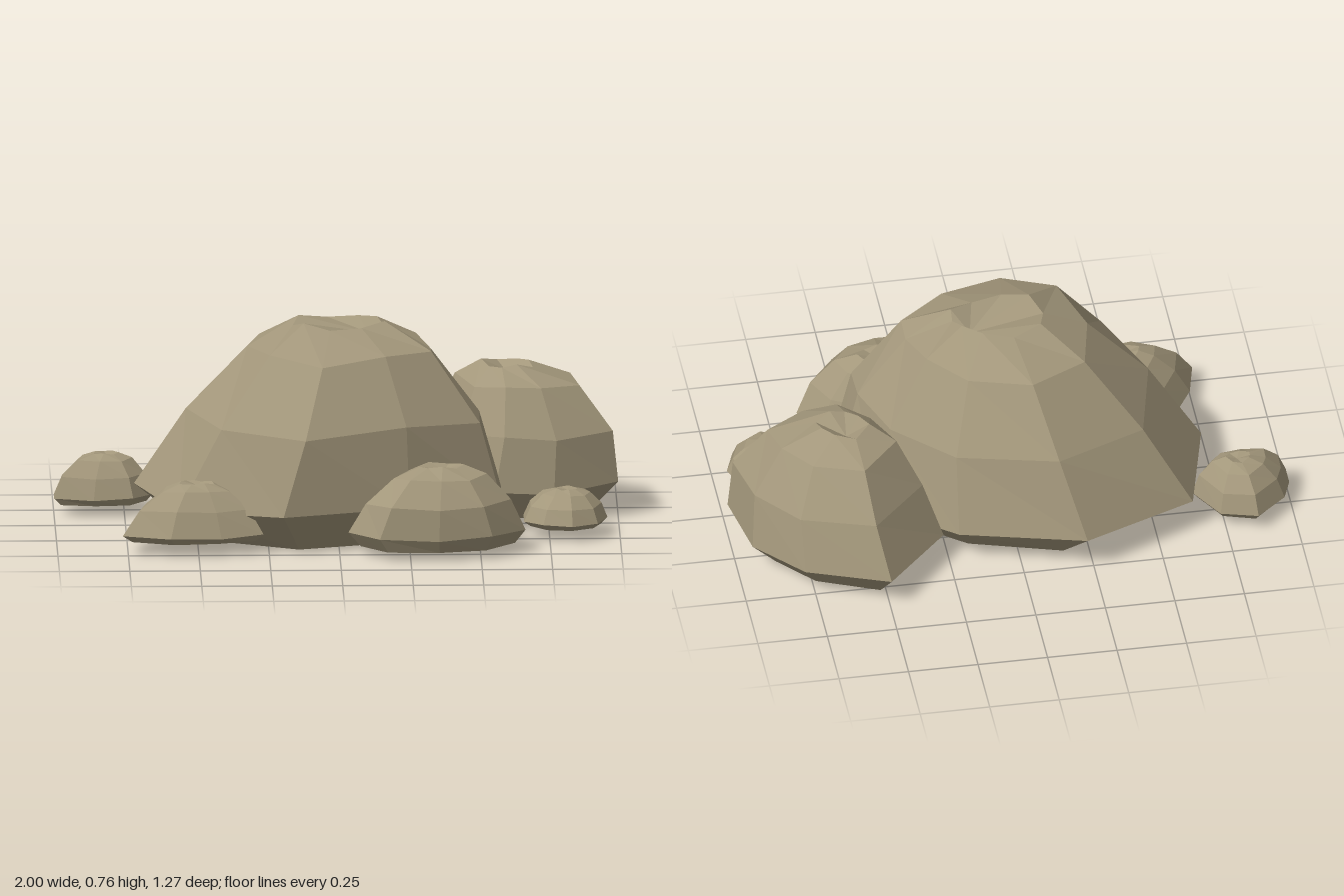
import * as THREE from 'three';

const { lerp } = THREE.MathUtils;
const shoulder = (bulge) => 1.25 * bulge - 0.5;

// Faceted rock: the footprint outline is lofted through rings that shrink toward a
// centre, then closed with a flat base and a slightly sunken crown.
// base, rim and top are heights; foot is the ring size below the rim, bulge the
// x and z size above it; lean shifts the upper body, dip places the crown.
function rockGeometry({ outline, centre: [cx, cz], base, rim, top, foot, bulge: [bx, bz],
  lean: [lx, lz] = [0, 0], dip = [cx, cz] }) {
  const height = top - base;
  const profile = [
    { y: base, sx: foot, sz: foot, shift: 0 },
    { y: rim, sx: 1, sz: 1, shift: 0 },
    { y: base + 0.57 * height, sx: bx, sz: bz, shift: 1 },
    { y: base + 0.89 * height, sx: shoulder(bx), sz: shoulder(bz), shift: 0.9 },
    { y: top, sx: 0.25, sz: 0.23, shift: 0.2 },
  ];
  const loops = profile.map(({ y, sx, sz, shift }, level) => outline.map(([x, z], i) => [
    lerp(cx, x, sx) + lx * shift,
    // gentle unevenness above the flat base
    level ? y + Math.sin(i * 2.4 + level) * 0.018 * height : y,
    lerp(cz, z, sz) + lz * shift,
  ]));
  const baseCentre = [cx, base, cz];
  const crown = [dip[0], top - 0.06 * height, dip[1]];
  const lowest = loops[0];
  const highest = loops[loops.length - 1];

  const pos = [];
  const tri = (...corners) => corners.forEach((c) => pos.push(...c));
  outline.forEach((_, i) => {
    const j = (i + 1) % outline.length;
    tri(lowest[i], lowest[j], baseCentre);
    for (let k = 0; k < loops.length - 1; k++) {
      const lo = loops[k];
      const hi = loops[k + 1];
      tri(lo[i], hi[i], hi[j]);
      tri(lo[i], hi[j], lo[j]);
    }
    tri(highest[i], crown, highest[j]);
  });

  const geometry = new THREE.BufferGeometry();
  geometry.setAttribute('position', new THREE.Float32BufferAttribute(pos, 3));
  geometry.computeVertexNormals(); // unshared corners give flat facets
  return geometry;
}

// Regular footprint for the roundest pebble
function roundOutline(cx, cz, radius, sides) {
  return Array.from({ length: sides }, (_, i) => {
    const a = (i / sides) * Math.PI * 2;
    return [cx + radius * Math.cos(a), cz + radius * Math.sin(a)];
  });
}

export function createModel() {
  const group = new THREE.Group();
  group.name = 'rockCluster';
  const stone = new THREE.MeshStandardMaterial({ color: 0xa3977b, flatShading: true });
  stone.name = 'stone';

  const addRock = (name, shape) => {
    const mesh = new THREE.Mesh(rockGeometry(shape), stone);
    mesh.name = name;
    group.add(mesh);
  };

  // Two large boulders
  addRock('mainBoulder', {
    outline: [[-0.22, -0.55], [0.22, -0.42], [0.48, -0.22], [0.58, 0.04], [0.58, 0.2],
      [0.25, 0.4], [-0.2, 0.54], [-0.57, 0.36], [-0.72, 0], [-0.63, -0.36]],
    centre: [0.02, 0.04], dip: [0.11, 0.01], lean: [0.035, 0.035],
    base: 0, rim: 0.14, top: 0.745, foot: 0.74, bulge: [0.8, 0.88],
  });
  addRock('backBoulder', {
    outline: [[0.5, -0.64], [0.79, -0.52], [0.95, -0.34], [1, -0.1],
      [0.77, 0.04], [0.56, 0.06], [0.38, -0.08], [0.27, -0.38]],
    centre: [0.59, -0.22], dip: [0.6, -0.26], lean: [0.03, 0.02],
    base: 0.015, rim: 0.12, top: 0.535, foot: 0.75, bulge: [0.88, 0.85],
  });

  // Low rocks around them
  addRock('frontRock', {
    outline: [[0.45, 0.25], [0.59, 0.33], [0.66, 0.45], [0.54, 0.59],
      [0.35, 0.635], [0.14, 0.625], [0.03, 0.5], [0.16, 0.3]],
    centre: [0.37, 0.44], lean: [0, 0.02],
    base: 0.03, rim: 0.08, top: 0.312, foot: 0.87, bulge: [0.82, 0.87],
  });
  addRock('frontLeftRock', {
    outline: [[-0.66, 0.22], [-0.45, 0.2], [-0.31, 0.34], [-0.27, 0.48],
      [-0.42, 0.53], [-0.6, 0.55], [-0.77, 0.49], [-0.74, 0.36]],
    centre: [-0.5, 0.4],
    base: 0.045, rim: 0.068, top: 0.244, foot: 0.87, bulge: [0.78, 0.8],
  });
  addRock('leftRock', {
    outline: [[-0.86, -0.4], [-0.73, -0.36], [-0.65, -0.22], [-0.72, -0.13],
      [-0.86, -0.115], [-1, -0.14], [-1, -0.22], [-0.97, -0.3]],
    centre: [-0.81, -0.23],
    base: 0.04, rim: 0.065, top: 0.213, foot: 0.87, bulge: [0.84, 0.84],
  });
  addRock('rightPebble', {
    outline: roundOutline(0.803, 0.178, 0.153, 9),
    centre: [0.815, 0.18],
    base: 0.04, rim: 0.06, top: 0.168, foot: 0.85, bulge: [0.85, 0.85],
  });
  return group;
}
